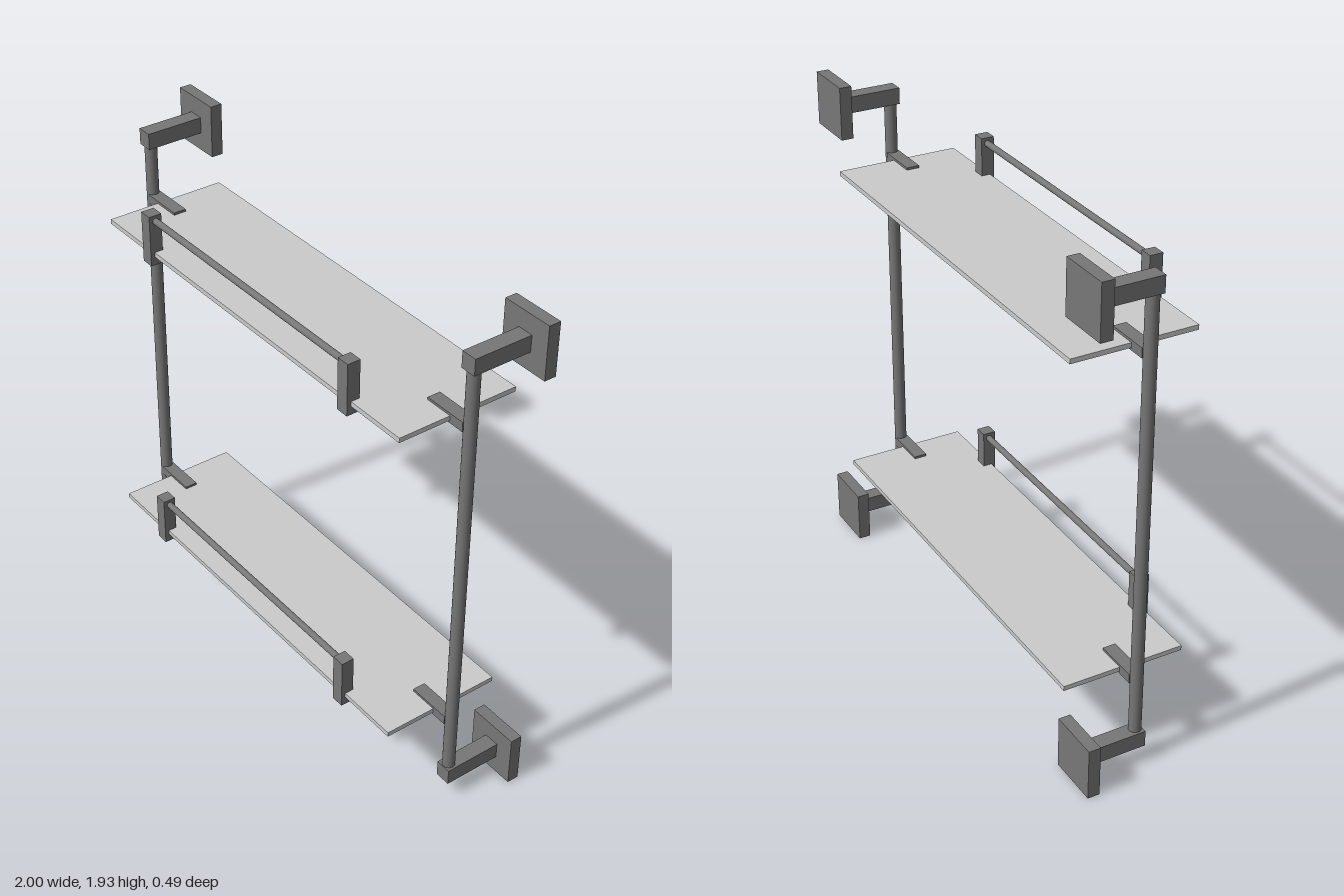
import * as THREE from 'three';

const metal = new THREE.MeshStandardMaterial({ color: 0x777777 });
const shelfGrey = new THREE.MeshStandardMaterial({ color: 0xcccccc });

// Box given by its minimum and maximum on each axis
function box(name, [x0, x1], [y0, y1], [z0, z1], material = metal) {
  const mesh = new THREE.Mesh(new THREE.BoxGeometry(x1 - x0, y1 - y0, z1 - z0), material);
  mesh.position.set((x0 + x1) / 2, (y0 + y1) / 2, (z0 + z1) / 2);
  mesh.name = name;
  return mesh;
}

function rod(name, radius, length, x, y, z) {
  const mesh = new THREE.Mesh(new THREE.CylinderGeometry(radius, radius, length, 24), metal);
  mesh.position.set(x, y, z);
  mesh.name = name;
  return mesh;
}

// Interval on the +x side, or its mirror on the -x side
const mirror = (side, a, b) => (side > 0 ? [a, b] : [-b, -a]);

// Square wall plate with an arm reaching forward to the post
function wallMount(side, y) {
  const mount = new THREE.Group();
  mount.name = 'wallMount';
  mount.add(
    box('wallPlate', mirror(side, 0.8, 1), [y - 0.1, y + 0.1], [-0.243, -0.197]),
    box('mountArm', mirror(side, 0.869, 0.929), [y - 0.031, y + 0.031], [-0.197, 0.027])
  );
  return mount;
}

// Shelf panel with side clips and a front guard rail
function shelfUnit(y) {
  const unit = new THREE.Group();
  unit.name = 'shelfUnit';
  unit.add(box('shelf', [-0.83, 0.83], [y - 0.009, y + 0.009], [-0.243, 0.227], shelfGrey));
  for (const side of [-1, 1]) {
    unit.add(
      box('shelfClip', mirror(side, 0.72, 0.89), [y - 0.018, y + 0.018], [-0.023, 0.027]),
      box('railBlock', mirror(side, 0.539, 0.589), [y - 0.041, y + 0.154], [0.193, 0.243])
    );
  }
  const rail = rod('guardRail', 0.012, 1.1, 0, y + 0.131, 0.217);
  rail.rotation.z = Math.PI / 2;
  unit.add(rail);
  return unit;
}

export function createModel() {
  const model = new THREE.Group();
  model.name = 'twoTierWallShelf';

  // Side posts held by a mount at each end
  for (const side of [-1, 1]) {
    model.add(rod('post', 0.023, 1.67, side * 0.899, 0.967, 0.002));
    for (const y of [0.1, 1.833]) model.add(wallMount(side, y));
  }

  for (const y of [0.348, 1.593]) model.add(shelfUnit(y));
  return model;
}
